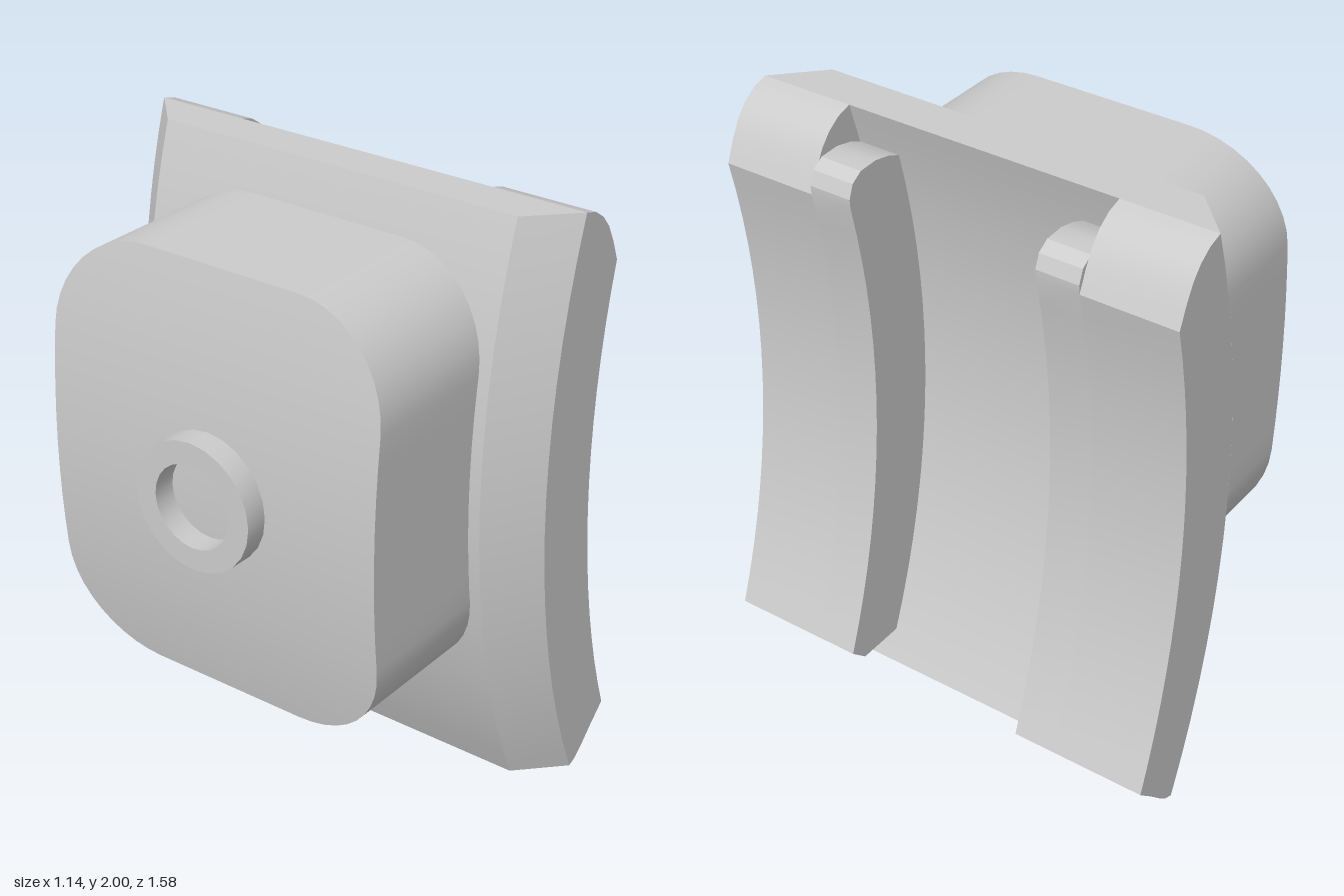
import * as THREE from 'three';
import { toCreasedNormals } from 'three/addons/utils/BufferGeometryUtils.js';

const material = new THREE.MeshStandardMaterial({ color: 0xcccccc });

// Shared curve of the shoe: x at height y for an arc whose apex lies at x0
const MID = 1.15, R = 2.77;
const arcX = (x0, y, r = R) => x0 + r - Math.sqrt(r * r - (y - MID) ** 2);
const OUTER = -0.015, FLOOR = 0.13, INNER = 0.38;

function addMesh(parent, name, geometry, crease = 0.35) {
  const mesh = new THREE.Mesh(toCreasedNormals(geometry, crease), material);
  mesh.name = name;
  parent.add(mesh);
  return mesh;
}

// Stack four-cornered sections from bottom to top; each corner is [x, y, z]
function loft(sections) {
  const index = [], last = (sections.length - 1) * 4;
  for (let i = 0; i < last; i += 4) {
    for (let j = 0; j < 4; j++) {
      const a = i + j, b = i + (j + 1) % 4;
      index.push(a, b, b + 4, a, b + 4, a + 4);
    }
  }
  index.push(0, 2, 1, 0, 3, 2, last, last + 1, last + 2, last, last + 2, last + 3);
  const g = new THREE.BufferGeometry();
  g.setAttribute('position', new THREE.Float32BufferAttribute(sections.flat(2), 3));
  g.setIndex(index);
  return g;
}

function section(y, xBack, xFront, wBack, wFront) {
  return [[xBack, y, -wBack], [xBack, y, wBack], [xFront, y, wFront], [xFront, y, -wFront]];
}

// Points along an arc between two heights
function arcPoints(x0, yStart, yEnd, n = 16) {
  return Array.from({ length: n + 1 }, (_, i) => {
    const y = yStart + (yEnd - yStart) * i / n;
    return new THREE.Vector2(arcX(x0, y), y);
  });
}

// Rail: side profile with shaped ends, extruded across z
function railGeometry(yLow, yHigh, topEnd, bottomEnd, z0, z1) {
  const toV = ([x, y]) => new THREE.Vector2(x, y);
  const shape = new THREE.Shape([
    ...arcPoints(FLOOR, yLow, yHigh),
    ...topEnd.map(toV),
    ...arcPoints(INNER, 1.79, 0.155),
    ...bottomEnd.map(toV),
  ]);
  const g = new THREE.ExtrudeGeometry(shape, { depth: z1 - z0, bevelEnabled: false });
  return g.translate(0, 0, z0);
}

export function createModel() {
  const group = new THREE.Group();
  group.name = 'curvedShoe';

  // Curved plate with bevelled long edges
  const plate = [];
  for (let i = 0; i <= 20; i++) {
    const y = i * 0.1;
    plate.push(section(y, arcX(OUTER, y), arcX(FLOOR, y), 0.65, 0.79));
  }
  addMesh(group, 'curvedPlate', loft(plate));

  // Rails either side of the channel, each with a shorter inner strip
  const outerTop = [[0.315, 1.985], [0.36, 1.955], [0.395, 1.915], [0.425, 1.86]];
  const outerBottom = [[0.5, 0.095], [0.445, 0.04], [0.415, 0.015]];
  const innerTop = [[0.27, 1.88], [0.33, 1.893], [0.4, 1.89], [0.44, 1.865], [0.457, 1.82]];
  const innerBottom = [[0.505, 0.1]];
  for (const [side, outer, inner] of [
    ['left', [-0.79, -0.47], [-0.47, -0.325]],
    ['right', [0.47, 0.79], [0.325, 0.47]],
  ]) {
    addMesh(group, side + 'OuterRail', railGeometry(0, 2, outerTop, outerBottom, ...outer));
    addMesh(group, side + 'InnerRail', railGeometry(0.1, 1.86, innerTop, innerBottom, ...inner));
  }

  // Backing block: rounded rectangle in y and z with a gently bowed back
  const halfH = 0.717, halfW = 0.61, r = 0.33;
  const rows = [];
  for (let i = 0; i <= 10; i++) {
    const a = i / 10 * Math.PI / 2;
    rows.push([-(halfH - r) - r * Math.cos(a), halfW - r + r * Math.sin(a)]);
  }
  for (let i = 1; i < 8; i++) rows.push([(halfH - r) * (i / 4 - 1), halfW]);
  for (let i = 10; i >= 0; i--) rows.push([-rows[i][0], rows[i][1]]);
  const block = rows.map(([dy, w]) => {
    const y = 1.14 + dy;
    return section(y, arcX(-0.495, y, 3.5), arcX(OUTER, y) + 0.05, w, w);
  });
  addMesh(group, 'backingBlock', loft(block), 0.5);

  // Round collar on the back of the block
  const collar = new THREE.LatheGeometry([
    [0.14, 0], [0.215, 0], [0.215, 0.09], [0.14, 0.09], [0.14, 0],
  ].map(([x, y]) => new THREE.Vector2(x, y)), 24);
  collar.rotateZ(Math.PI / 2);
  addMesh(group, 'collar', collar, 0.5).position.set(-0.482, 1.14, 0);

  return group;
}
